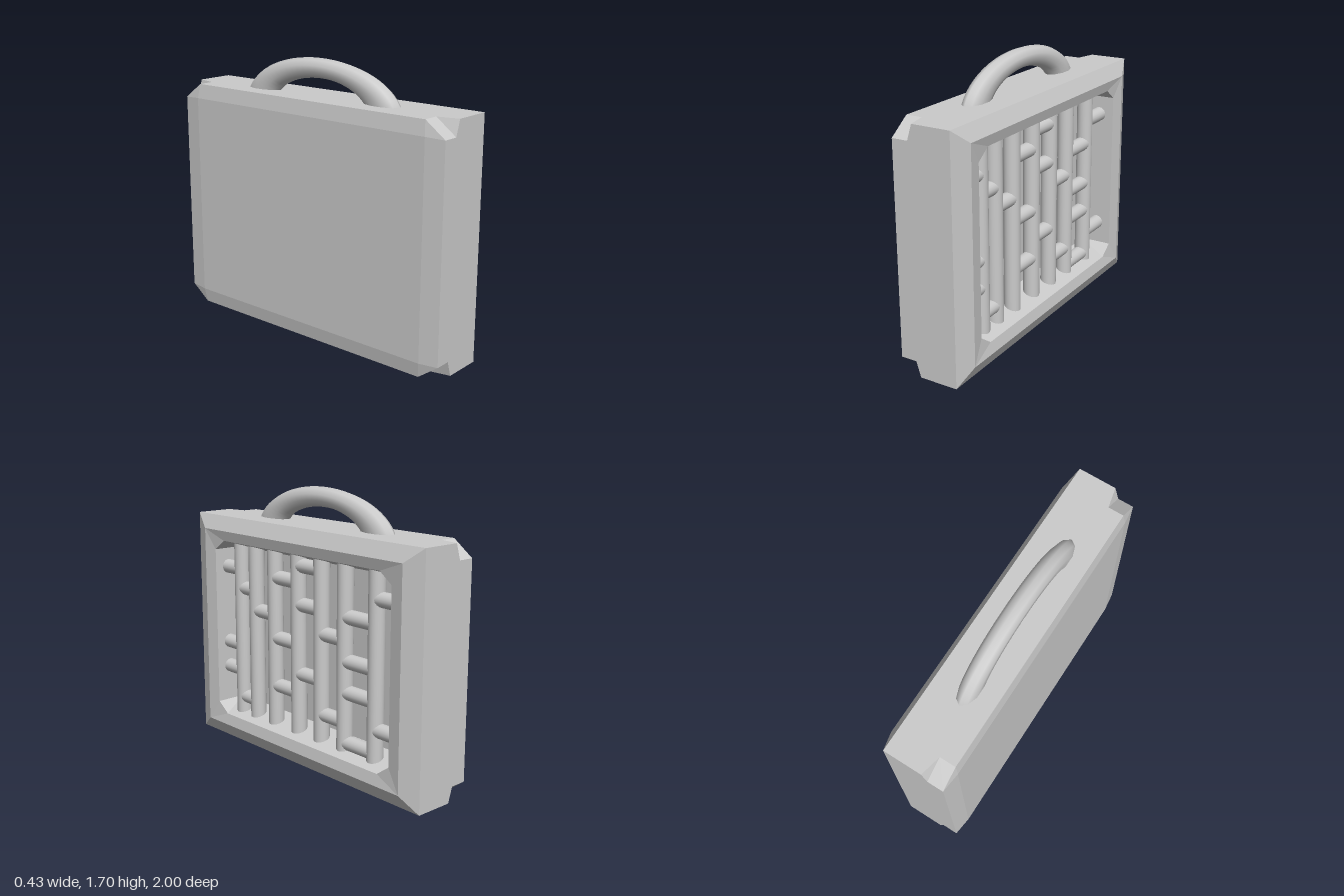
import * as THREE from 'three';

const material = () => new THREE.MeshStandardMaterial({ color: 0xcccccc });

// Eight-point ring in the z/y plane: a rectangle with corners cut by cz, cy
function ring(x, hz, y0, y1, cz = 0, cy = 0) {
  return [
    [-hz, y1 - cy], [-hz + cz, y1], [hz - cz, y1], [hz, y1 - cy],
    [hz, y0 + cy], [hz - cz, y0], [-hz + cz, y0], [-hz, y0 + cy],
  ].map(([z, y]) => new THREE.Vector3(x, y, z));
}

// Flat-faced skin through the rings, closed at both ends
function loft(rings) {
  const pos = [];
  const tri = (a, b, c) => {
    if (a.equals(b) || b.equals(c) || a.equals(c)) return;
    for (const p of [a, b, c]) pos.push(p.x, p.y, p.z);
  };
  for (let r = 0; r < rings.length - 1; r++) {
    const a = rings[r], b = rings[r + 1];
    for (let i = 0; i < 8; i++) {
      const j = (i + 1) % 8;
      tri(a[i], a[j], b[j]);
      tri(a[i], b[j], b[i]);
    }
  }
  const first = rings[0], last = rings[rings.length - 1];
  for (let i = 1; i < 7; i++) {
    tri(first[0], first[i + 1], first[i]);
    tri(last[0], last[i], last[i + 1]);
  }
  const g = new THREE.BufferGeometry();
  g.setAttribute('position', new THREE.Float32BufferAttribute(pos, 3));
  g.computeVertexNormals();
  return g;
}

export function createModel() {
  const model = new THREE.Group();
  const add = (parent, name, geometry) => {
    const mesh = new THREE.Mesh(geometry, material());
    mesh.name = name;
    parent.add(mesh);
    return mesh;
  };

  // Case: bevelled back, notched back corners, raised frame and recessed pocket
  const H = 1.475;
  add(model, 'case', loft([
    ring(-0.215, 0.88, 0.09, 1.385),
    ring(-0.2, 1, 0, H, 0.13, 0.095),
    ring(-0.1, 1, 0, H, 0.13, 0.095),
    ring(-0.07, 1, 0, H),
    ring(0.17, 1, 0, H),
    ring(0.215, 0.88, 0.09, 1.385),
    ring(0.2, 0.79, 0.16, 1.32, 0.09, 0.065),
    ring(0, 0.79, 0.225, 1.255),
  ]));

  // Carrying handle: upper arc of a stretched ring, its ends sunk into the case
  const handle = new THREE.TorusGeometry(0.24, 0.06, 10, 32, Math.PI);
  handle.rotateY(Math.PI / 2);
  handle.scale(1, 1, 2);
  handle.translate(-0.03, 1.4, 0);
  add(model, 'handle', handle);

  // Upright bars in the pocket
  const barX = 0.1;
  const barZ = [0.64, 0.492, 0.305, 0.083, -0.126, -0.33, -0.585];
  const bars = new THREE.Group();
  bars.name = 'uprightBars';
  model.add(bars);
  for (const z of barZ) {
    add(bars, 'uprightBar', new THREE.CylinderGeometry(0.05, 0.05, 1.16, 20))
      .position.set(barX, 0.74, z);
  }

  // Short cross rods: heights for each gap, from one pocket wall to the other
  const stops = [0.79, ...barZ, -0.79];
  const heights = [
    [1.135, 0.63, 0.46], [1.015, 0.285], [0.89], [1.13, 0.745, 0.435],
    [1.235, 0.995, 0.56], [0.85, 0.35], [0.99, 0.725, 0.535, 0.225], [1.135, 0.37],
  ];
  const rods = new THREE.Group();
  rods.name = 'crossRods';
  model.add(rods);
  heights.forEach((ys, i) => {
    const length = stops[i] - stops[i + 1];
    for (const y of ys) {
      const rod = add(rods, 'crossRod', new THREE.CylinderGeometry(0.045, 0.045, length, 20));
      rod.rotation.x = Math.PI / 2;
      rod.position.set(barX, y, (stops[i] + stops[i + 1]) / 2);
    }
  });

  return model;
}
